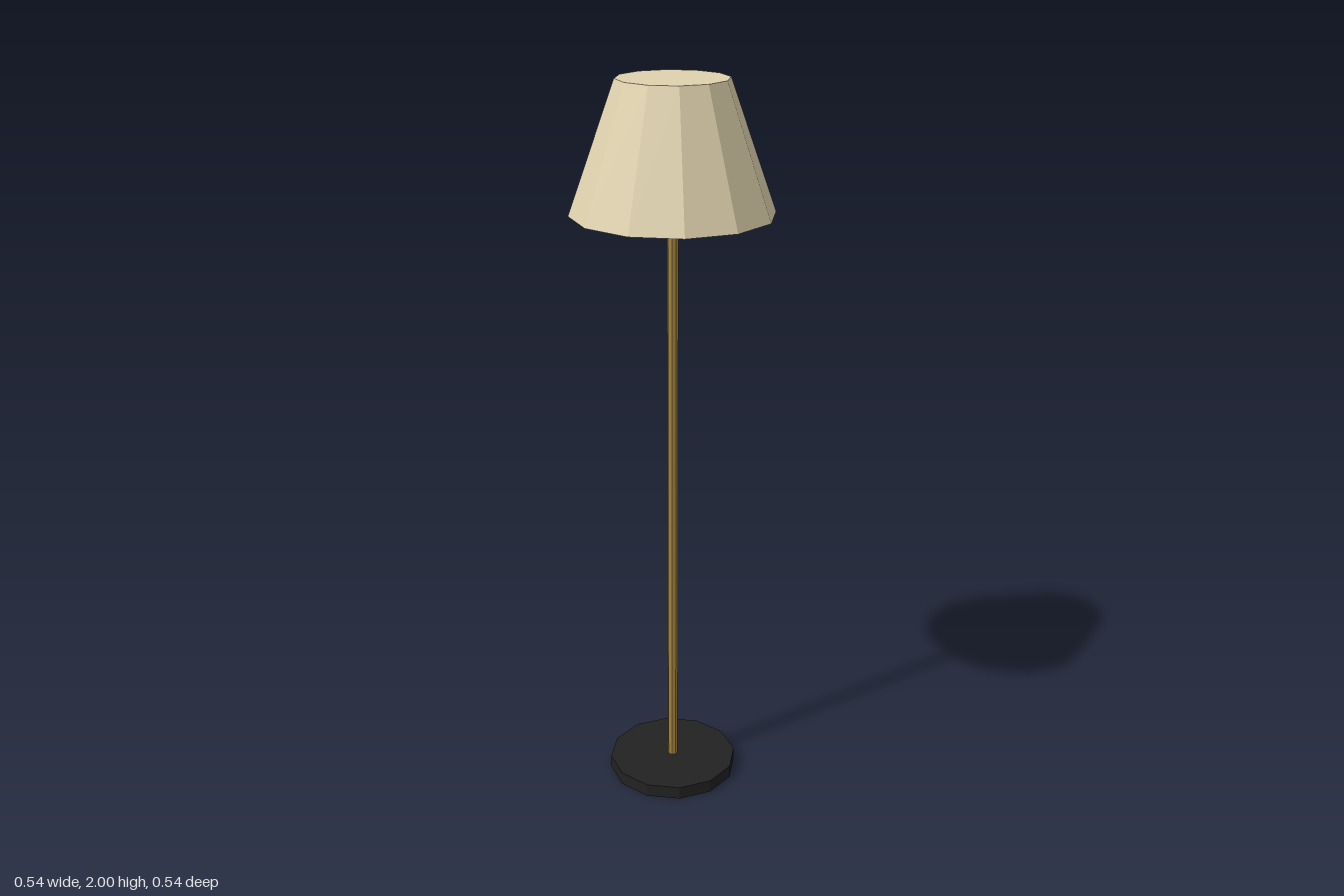
import * as THREE from 'three';

const material = (name, color) => {
  const m = new THREE.MeshStandardMaterial({ color, flatShading: true });
  m.name = name;
  return m;
};

export function createModel() {
  const lamp = new THREE.Group();
  lamp.name = 'floorLamp';

  // Adds a faceted, capped cylinder spanning two heights
  const addPart = (name, topRadius, bottomRadius, y0, y1, sides, mat) => {
    const geometry = new THREE.CylinderGeometry(topRadius, bottomRadius, y1 - y0, sides);
    const mesh = new THREE.Mesh(geometry, mat);
    mesh.name = name;
    mesh.position.y = (y0 + y1) / 2;
    lamp.add(mesh);
  };

  // Weighted foot, slim pole and closed tapered shade
  addPart('base', 0.183, 0.183, 0, 0.037, 12, material('black metal', 0x222222));
  addPart('pole', 0.0147, 0.0147, 0.037, 1.67, 8, material('brass', 0xa5853f));
  addPart('shade', 0.146, 0.268, 1.659, 2, 12, material('cream fabric', 0xe0d2ae));

  return lamp;
}
